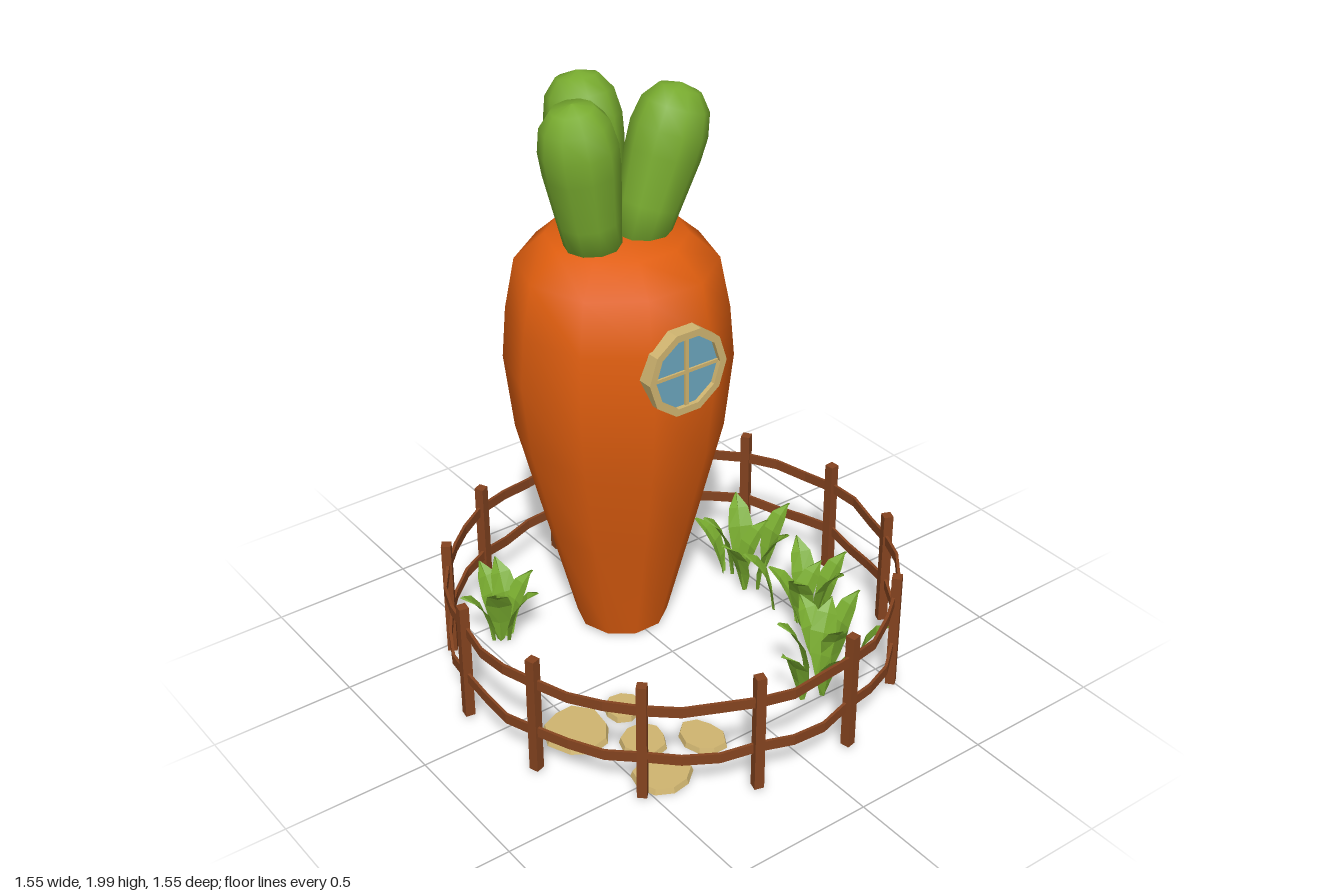
import * as THREE from 'three';
import { toCreasedNormals } from 'three/addons/utils/BufferGeometryUtils.js';

const mat = (name, color, extra = {}) => {
  const m = new THREE.MeshStandardMaterial({ color, ...extra });
  m.name = name;
  return m;
};

export function createModel() {
  const orange = mat('carrot orange', 0xe05e0f);
  const green = mat('leaf green', 0x78ab2f);
  const blade = mat('grass green', 0x78ab2f, { side: THREE.DoubleSide, flatShading: true });
  const wood = mat('fence brown', 0x84431f, { flatShading: true });
  const tan = mat('sand tan', 0xd0b570, { flatShading: true });
  const blue = mat('window blue', 0x6ba6be);

  const model = new THREE.Group();
  const add = (name, geo, material, parent = model) => {
    const m = new THREE.Mesh(geo, material);
    m.name = name;
    parent.add(m);
    return m;
  };
  const group = (name) => {
    const g = new THREE.Group();
    g.name = name;
    model.add(g);
    return g;
  };
  const lathe = (pts, n) => new THREE.LatheGeometry(pts.map(p => new THREE.Vector2(...p)), n);

  // Carrot body
  const body = lathe([[0, 0.012], [0.16, 0.012], [0.265, 0.42], [0.355, 0.78], [0.385, 1.05],
    [0.37, 1.23], [0.335, 1.41], [0.235, 1.5], [0, 1.515]], 10);
  add('carrotBody', toCreasedNormals(body, 0.95), orange).position.x = -0.3;

  // Three fat leaves on top: base, then a point higher on the axis
  const tops = group('carrotLeaves');
  const leafGeo = lathe([[0, 0], [0.088, 0], [0.105, 0.14], [0.125, 0.31], [0.128, 0.39],
    [0.112, 0.47], [0.07, 0.523], [0, 0.54]], 10);
  [[-0.265, 0.11, -0.265, 0.165], [-0.26, -0.055, -0.26, -0.19], [-0.4, 0, -0.48, 0]]
    .forEach(([x, z, tx, tz]) => {
      const leaf = add('carrotLeaf', leafGeo, green, tops);
      leaf.position.set(x, 1.46, z);
      const axis = new THREE.Vector3(tx - x, 0.39, tz - z).normalize();
      leaf.quaternion.setFromUnitVectors(new THREE.Vector3(0, 1, 0), axis);
    });

  // Round window on the left side, built facing +z and turned to +x
  const win = group('window');
  win.position.set(0, 1.155, 0);
  win.rotation.y = Math.PI / 2;
  const decagon = (r) => Array.from({ length: 10 }, (_, i) =>
    new THREE.Vector2(r * Math.cos(i * Math.PI / 5), r * Math.sin(i * Math.PI / 5)));
  const ring = new THREE.Shape(decagon(0.153));
  ring.holes.push(new THREE.Path(decagon(0.127)));
  const frame = add('windowFrame', new THREE.ExtrudeGeometry(ring,
    { depth: 0.08, bevelEnabled: false }), tan, win);
  frame.position.z = 0.006;
  add('windowGlass', new THREE.ShapeGeometry(new THREE.Shape(decagon(0.13))), blue, win)
    .position.z = 0.07;
  add('windowBarUpright', new THREE.BoxGeometry(0.014, 0.245, 0.01), tan, win).position.z = 0.073;
  add('windowBarLevel', new THREE.BoxGeometry(0.25, 0.012, 0.008), tan, win).position.z = 0.073;

  // Fence: thirteen posts and two wavy rails
  const fence = group('fence');
  const N = 13, R = 0.765, start = -94.5 * Math.PI / 180, step = 2 * Math.PI / N;
  for (let i = 0; i < N; i++) {
    const a = start + i * step;
    const post = add('fencePost', new THREE.BoxGeometry(0.033, 0.435, 0.033), wood, fence);
    post.position.set(R * Math.cos(a), 0.2325, R * Math.sin(a));
    post.rotation.y = -a;
  }
  const rail = (y0, phase, amp) => {
    const n = N * 3, pos = [], idx = [];
    for (let i = 0; i < n; i++) {
      const a = start + i * step / 3;
      const r = R + 0.006 * Math.sin(i * 1.7 + phase);
      const y = y0 + amp * Math.sin(i * 2.1 + phase);
      for (const [s, t] of [[1, 1], [-1, 1], [-1, -1], [1, -1]]) {
        pos.push((r + s * 0.005) * Math.cos(a), y + t * 0.018, (r + s * 0.005) * Math.sin(a));
      }
      for (let k = 0; k < 4; k++) {
        const p = i * 4 + k, q = i * 4 + (k + 1) % 4, m = ((i + 1) % n) * 4;
        idx.push(p, q, m + k, q, m + (k + 1) % 4, m + k);
      }
    }
    const g = new THREE.BufferGeometry();
    g.setAttribute('position', new THREE.Float32BufferAttribute(pos, 3));
    g.setIndex(idx);
    g.computeVertexNormals();
    return g;
  };
  add('upperRail', rail(0.352, 0.5, 0.007), wood, fence);
  add('lowerRail', rail(0.163, 2, 0.011), wood, fence);

  // Grass blade leaning towards +x: [outward, height, half width]
  const rows = [[-0.055, 0.015, 0.012], [-0.045, 0.1, 0.036], [-0.025, 0.18, 0.046],
    [0.01, 0.24, 0.036], [0.055, 0.28, 0.001]];
  const bladePos = [], bladeIdx = [];
  rows.forEach(([o, y, w], i) => {
    bladePos.push(o, y, w, o + 0.008, y - 0.006, 0, o, y, -w);
    if (i) {
      for (const k of [0, 1]) {
        const p = (i - 1) * 3 + k;
        bladeIdx.push(p, p + 3, p + 1, p + 1, p + 3, p + 4);
      }
    }
  });
  const bladeGeo = new THREE.BufferGeometry();
  bladeGeo.setAttribute('position', new THREE.Float32BufferAttribute(bladePos, 3));
  bladeGeo.setIndex(bladeIdx);
  bladeGeo.computeVertexNormals();

  // Clumps of blades: [x, z, heading in degrees from +x towards +z]
  const clumps = [
    [[-0.285, -0.52, 205], [-0.19, -0.62, 270], [-0.185, -0.51, 275], [-0.055, -0.49, 330],
      [-0.125, -0.37, 85], [-0.3, -0.4, 145], [-0.25, -0.4, 110]],
    [[0.07, -0.52, 200], [0.17, -0.58, 272], [0.14, -0.5, 265], [0.24, -0.5, 345],
      [0, -0.39, 125], [0.1, -0.42, 145], [0.2, -0.4, 60]],
    [[0.4, -0.44, 270], [0.54, -0.43, 325], [0.3, -0.36, 185], [0.4, -0.35, 240],
      [0.47, -0.34, 20], [0.56, -0.255, 0], [0.4, -0.21, 110], [0.49, -0.13, 80]],
    [[-0.46, 0.4, 190], [-0.5, 0.43, 180], [-0.43, 0.52, 100], [-0.36, 0.48, 35],
      [-0.4, 0.37, 270], [-0.35, 0.39, 320]],
  ];
  for (const clump of clumps) {
    const g = group('grassClump');
    clump.forEach(([x, z, deg], i) => {
      const b = add('grassBlade', bladeGeo, blade, g);
      b.position.set(x, 0, z);
      b.rotation.y = -deg * Math.PI / 180;
      b.scale.y = 1 - 0.09 * (i % 3);
    });
  }

  // Flat stepping stones: [x, z, radius x, radius z]
  const path = group('steppingStones');
  [[0.155, 0.325, 0.068, 0.068], [0.335, 0.37, 0.08, 0.085], [0.435, 0.205, 0.09, 0.073],
    [0.505, 0.42, 0.095, 0.098], [0.16, 0.515, 0.13, 0.108]].forEach(([x, z, rx, rz], k) => {
    const geo = new THREE.CylinderGeometry(0.93, 1, 0.02, 9);
    const p = geo.attributes.position;
    for (let i = 0; i < p.count; i++) {
      const a = Math.atan2(p.getZ(i), p.getX(i));
      const f = 0.98 + 0.07 * Math.sin(2 * a + k * 1.3) + 0.05 * Math.sin(3 * a + k * 2.1);
      p.setXYZ(i, p.getX(i) * f * rx, p.getY(i), p.getZ(i) * f * rz);
    }
    geo.computeVertexNormals();
    add('steppingStone', geo, tan, path).position.set(x, 0.01, z);
  });

  return model;
}
